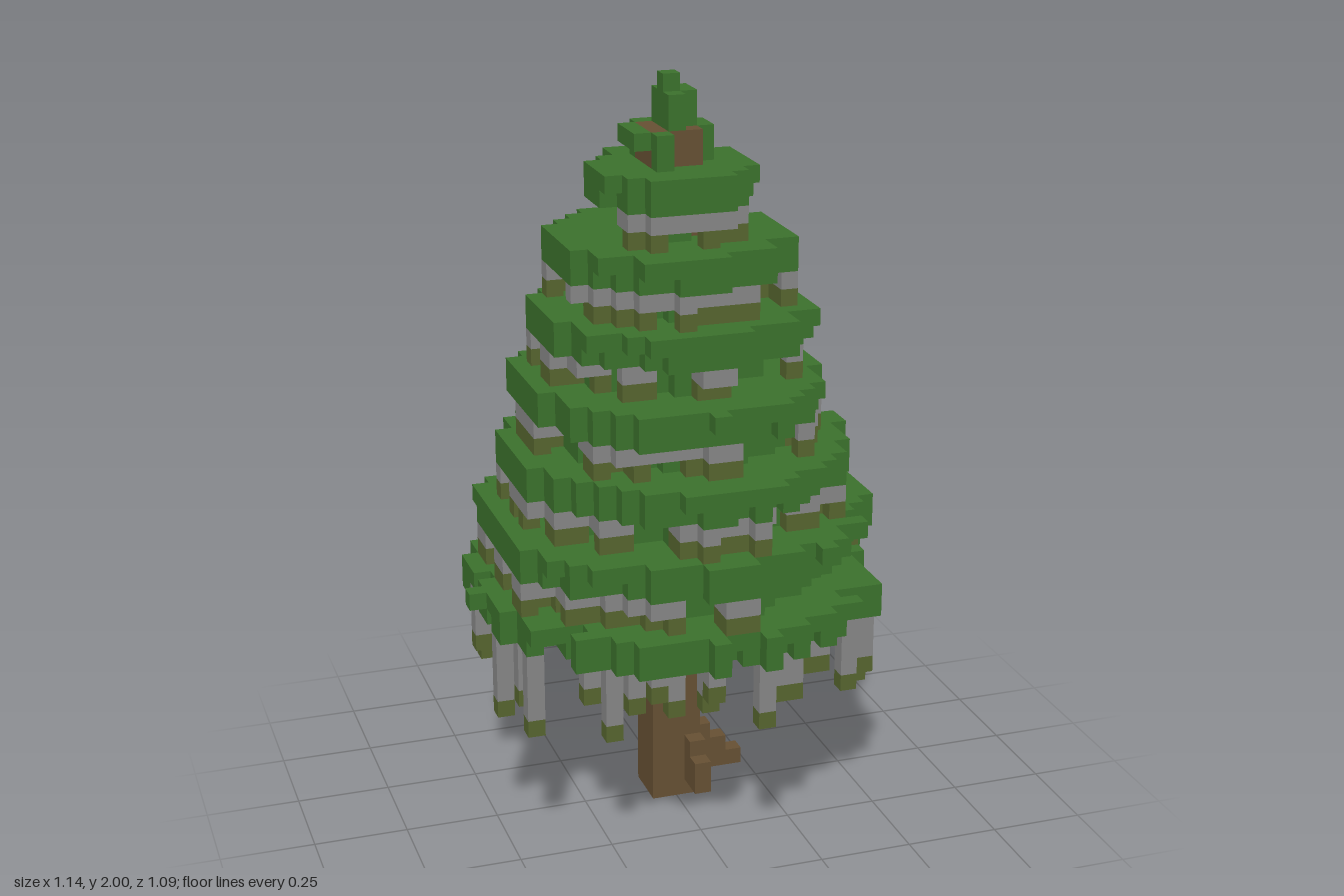
import * as THREE from 'three';

const V = 2 / 44; // edge of one cube
const material = (name, color) => {
  const m = new THREE.MeshStandardMaterial({ color });
  m.name = name;
  return m;
};

// Repeatable noise in 0..1 for a cell
const noise = (a, b, c) => {
  let h = (a * 374761393 + b * 668265263 + c * 1442695041) | 0;
  h = Math.imul(h ^ (h >>> 13), 1274126177);
  return ((h ^ (h >>> 16)) >>> 0) / 4294967296;
};

// Span [from, to] of the lowest, widest branch tier, row by row from back to front
const LOW_TIER = [
  [-4, 5], [-6, 7], [-7, 8], [-8, 8], [-9, 9], [-10, 10], [-10, 10], [-11, 11],
  [-11, 11], [-11, 10], [-10, 12], [-11, 11], [-12, 11], [-11, 11], [-11, 10], [-11, 10],
  [-10, 10], [-10, 10], [-10, 10], [-7, 7], [-8, 8], [-6, 6], [-5, 4],
];
// Upper tiers: [bottom row, x from, x to, z from, z to, radius]
const TIERS = [
  [17, -10, 11, -11, 11, 11], [21, -9, 10, -10, 10, 9.9], [25, -8, 8, -8, 9, 8.7],
  [29, -7, 7, -7, 7, 7.4], [33, -6, 6, -6, 6, 6.3], [37, -4, 4, -4, 4, 4.4],
];
// Long strands under the lowest tier: [x, z, length]
const STRANDS = [
  [-6, 8, 5], [-5, 9, 3], [-3, 10, 3], [-4, 10, 2], [-1, 11, 2], [-1, 10, 3], [2, 11, 4], [3, 10, 3],
  [4, 10, 3], [6, 9, 3], [5, 9, 2], [8, 8, 5], [9, 6, 5], [10, 6, 4], [10, 5, 5], [11, 1, 4],
  [11, 0, 3], [11, -4, 5], [10, -5, 5], [8, -7, 4], [6, -9, 3], [5, -10, 3], [3, -10, 3],
  [-2, -11, 3], [-4, -10, 3], [-6, -9, 4], [-7, -8, 3], [-10, -5, 5], [-11, -2, 4], [-11, -1, 3],
  [-11, 3, 5], [-10, 4, 4], [-10, 6, 5], [-7, 7, 3], [0, -11, 2],
];

export function createModel() {
  const tree = new THREE.Group();
  tree.name = 'tree';
  const green = material('needle green', 0x3b712c);
  const brown = material('bark brown', 0x665033);
  const grey = material('moss grey', 0x868686);
  const olive = material('tip olive', 0x56652f);
  const slate = material('cone slate', 0x403f50);

  const filled = new Set();
  const parts = new Map();
  const has = (x, y, z) => filled.has(`${x},${y},${z}`);
  const put = (name, mat, x, y, z) => {
    if (has(x, y, z)) return;
    filled.add(`${x},${y},${z}`);
    if (!parts.has(name)) parts.set(name, { mat, cells: [] });
    parts.get(name).cells.push([x, y, z]);
  };
  const strand = (x, z, top, length) => {
    for (let n = 1; n <= length; n++) {
      if (has(x, top - n, z)) return;
      const tip = n === length && length > 1;
      put(tip ? 'mossTips' : 'hangingMoss', tip ? olive : grey, x, top - n, z);
    }
  };

  // Trunk with three stepped roots
  for (let y = 0; y < 41; y++)
    for (let x = -1; x <= 1; x++) for (let z = -1; z <= 1; z++) put('trunk', brown, x, y, z);
  [[2, 1], [3, 1], [4, 1], [2, 2], [3, 2], [2, 3]].forEach(([x, y]) => put('sideRoot', brown, x, y, 0));
  [[2, 1], [3, 1], [2, 2], [3, 2], [2, 3]].forEach(([z, y]) => put('frontRoot', brown, 1, y, z));
  for (let y = 1; y <= 3; y++) put('backRoot', brown, 1, y, -2);

  // Lowest tier, its lower row a little frayed
  LOW_TIER.forEach(([from, to], row) => {
    const z = row - 11;
    for (let x = from; x <= to; x++) {
      if (x === 7 && z === -9) continue;
      put('lowestBranches', green, x, 14, z);
      const rim = Math.hypot(x, z) > 10.8;
      if (Math.abs(x) < 12 && !(rim && noise(x, 13, z) < 0.3)) put('lowestBranches', green, x, 13, z);
    }
  });
  for (const x of [-1, 2]) for (const y of [13, 14]) put('lowestBranches', green, x, y, 12);

  // Upper tiers, each over a narrower two-row core
  TIERS.forEach(([y0, xa, xb, za, zb, r], t) => {
    for (let x = xa; x <= xb; x++) for (let z = za; z <= zb; z++) {
      const d = Math.hypot(x, z);
      for (let y = y0 - 2; y < y0 + 2; y++) {
        const core = y < y0;
        const edge = core ? r - 2.1 + 0.9 * (noise(x, y0, z) - 0.5)
          : r + (y === y0 ? 0 : 0.2) + 1.1 * (noise(x, y0 + 1, z) - 0.5);
        const tip = !core && ((Math.abs(x) <= 1 && Math.abs(z) <= r) || (Math.abs(z) <= 1 && Math.abs(x) <= r));
        if (d <= edge || tip) put(core ? `innerBranches${t + 2}` : `branches${t + 2}`, green, x, y, z);
      }
    }
    // Moss below the rim, in small clumps
    for (let x = xa; x <= xb; x++) for (let z = za; z <= zb; z++) {
      if (!has(x, y0, z) || has(x, y0 - 1, z) || Math.hypot(x, z) < r - 1.7) continue;
      if (noise(x >> 1, t + 40, z >> 1) < 0.4) strand(x, z, y0, noise(x, t, z) < 0.3 ? 1 : 2);
    }
  });

  // Crown, leaving some bark bare
  for (let x = -2; x <= 2; x++) for (let z = -2; z <= 2; z++) {
    if (Math.hypot(x, z) > 2.3 || (x >= 0 && x < 2 && z === 2) || (x === 2 && z === 1)) continue;
    for (let y = 39; y < 41; y++) if (y === 40 || x > -2) put('crown', green, x, y, z);
  }
  for (let y = 41; y < 43; y++)
    [[0, -1], [0, 0], [0, 1], [1, -1], [1, 0]].forEach(([x, z]) => put('crown', green, x, y, z));
  put('crown', green, 0, 43, 0);

  // Strands and two dark cones under the lowest tier
  STRANDS.forEach(([x, z, length]) => {
    if (has(x, 13, z) || has(x, 14, z)) strand(x, z, has(x, 13, z) ? 13 : 14, length);
  });
  for (let y = 7; y < 13; y++) put('hangingCones', slate, -1, y, -8);
  for (let y = 9; y < 13; y++) put('hangingCones', slate, -3, y, -3);

  // Turn each part's cubes into a mesh of their exposed faces
  for (const [name, { mat, cells }] of parts) {
    const position = [], normal = [], index = [];
    for (const c of cells) for (let axis = 0; axis < 3; axis++) for (const s of [-1, 1]) {
      const next = [...c];
      next[axis] += s;
      if (has(...next)) continue;
      const u = (axis + 1) % 3, w = (axis + 2) % 3, base = position.length / 3;
      for (const [a, b] of [[-1, -1], [1, -1], [1, 1], [-1, 1]]) {
        const p = [c[0], c[1] + 0.5, c[2] - 0.5], n = [0, 0, 0];
        p[axis] += s / 2;
        p[u] += a / 2;
        p[w] += (b * s) / 2;
        n[axis] = s;
        position.push(...p.map((q) => q * V));
        normal.push(...n);
      }
      index.push(base, base + 1, base + 2, base, base + 2, base + 3);
    }
    const geometry = new THREE.BufferGeometry();
    geometry.setAttribute('position', new THREE.Float32BufferAttribute(position, 3));
    geometry.setAttribute('normal', new THREE.Float32BufferAttribute(normal, 3));
    geometry.setIndex(index);
    const mesh = new THREE.Mesh(geometry, mat);
    mesh.name = name;
    tree.add(mesh);
  }
  return tree;
}
